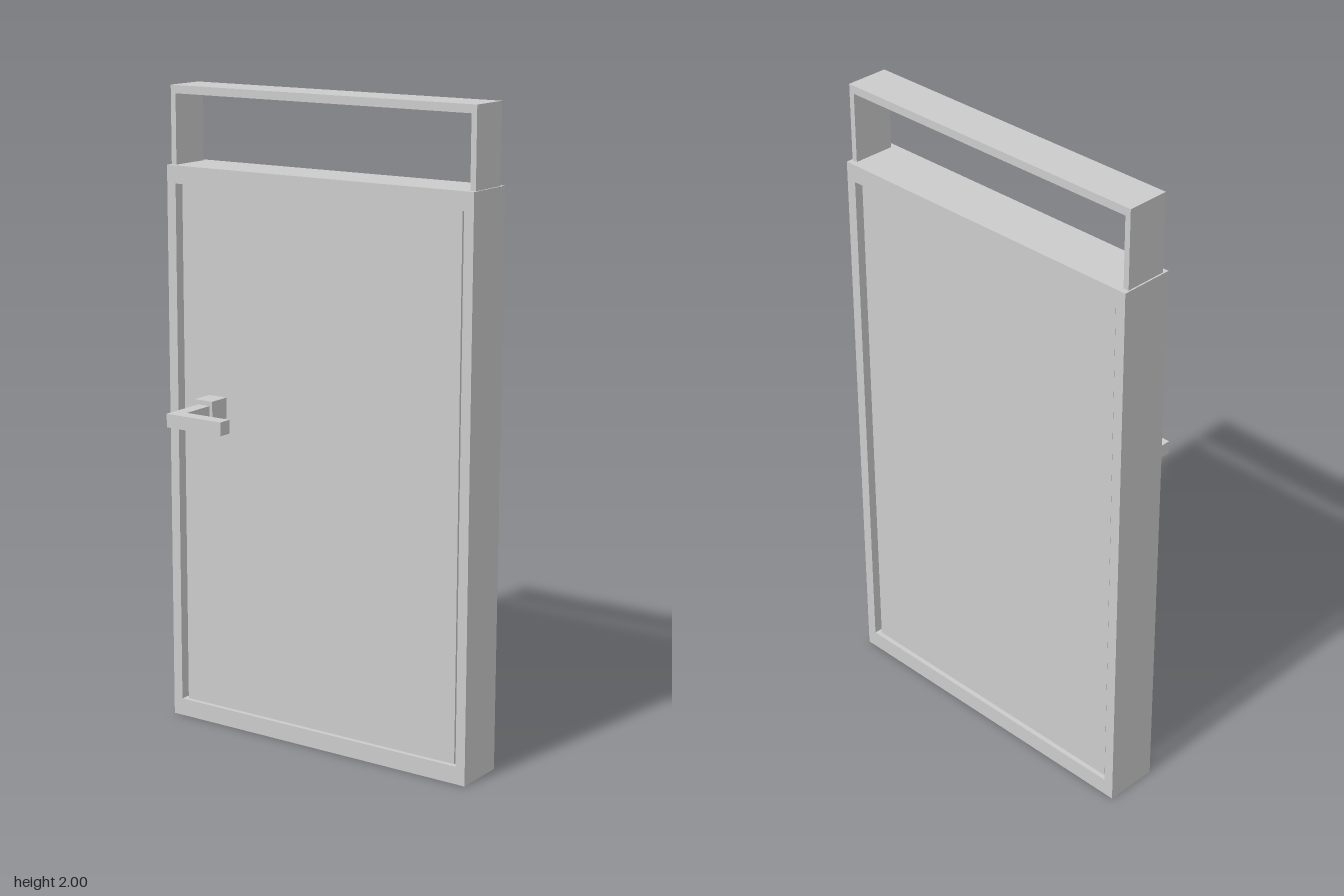
import * as THREE from 'three';

const material = new THREE.MeshStandardMaterial({ color: 0xcccccc });

function add(group, name, geometry) {
  const mesh = new THREE.Mesh(geometry, material);
  mesh.name = name;
  group.add(mesh);
}

// Box given by its limits on each axis
function block([x0, x1], [y0, y1], [z0, z1]) {
  return new THREE.BoxGeometry(x1 - x0, y1 - y0, z1 - z0)
    .translate((x0 + x1) / 2, (y0 + y1) / 2, (z0 + z1) / 2);
}

function rectangle(target, halfWidth, bottom, top) {
  target.moveTo(-halfWidth, bottom);
  target.lineTo(halfWidth, bottom);
  target.lineTo(halfWidth, top);
  target.lineTo(-halfWidth, top);
  target.closePath();
  return target;
}

// Rectangular frame in the zy plane, extruded along x; outer and inner are [halfWidth, bottom, top]
function frame(x0, x1, outer, inner) {
  const shape = rectangle(new THREE.Shape(), ...outer);
  shape.holes.push(rectangle(new THREE.Path(), ...inner));
  return new THREE.ExtrudeGeometry(shape, { depth: x1 - x0, bevelEnabled: false })
    .rotateY(Math.PI / 2).translate(x0, 0, 0);
}

export function createModel() {
  const model = new THREE.Group();
  model.name = 'door';

  // Door frame and the slightly recessed leaf, with a narrow gap at both sides
  add(model, 'doorFrame', frame(0.02, 0.19, [0.543, 0, 1.76], [0.511, 0.055, 1.705]));
  add(model, 'doorLeaf', block([0.035, 0.175], [0.055, 1.705], [-0.497, 0.497]));

  // Small stops closing the top of each gap
  for (const side of [-1, 1]) {
    const z = [0.497 * side, 0.511 * side].sort((a, b) => a - b);
    add(model, 'gapStop', block([0.08, 0.13], [1.67, 1.705], z));
  }

  // Open transom above: two posts and a top bar
  add(model, 'transomTop', block([0.037, 0.172], [1.975, 2], [-0.538, 0.538]));
  for (const side of [-1, 1]) {
    const z = [0.52 * side, 0.538 * side].sort((a, b) => a - b);
    add(model, 'transomPost', block([0.037, 0.172], [1.76, 1.975], z));
  }

  // Handle: mounting block and an L-shaped lever
  const handle = new THREE.Group();
  handle.name = 'handle';
  add(handle, 'handleMount', block([-0.037, 0.035], [0.995, 1.06], [-0.402, -0.336]));
  const lever = new THREE.Shape();
  const outline = [[-0.037, 0.39], [-0.191, 0.39], [-0.191, 0.188], [-0.147, 0.188], [-0.147, 0.347], [-0.037, 0.347]];
  lever.setFromPoints(outline.map(([x, z]) => new THREE.Vector2(x, z)));
  add(handle, 'handleLever', new THREE.ExtrudeGeometry(lever, { depth: 0.042, bevelEnabled: false })
    .rotateX(-Math.PI / 2).translate(0, 1.003, 0));
  model.add(handle);

  return model;
}
